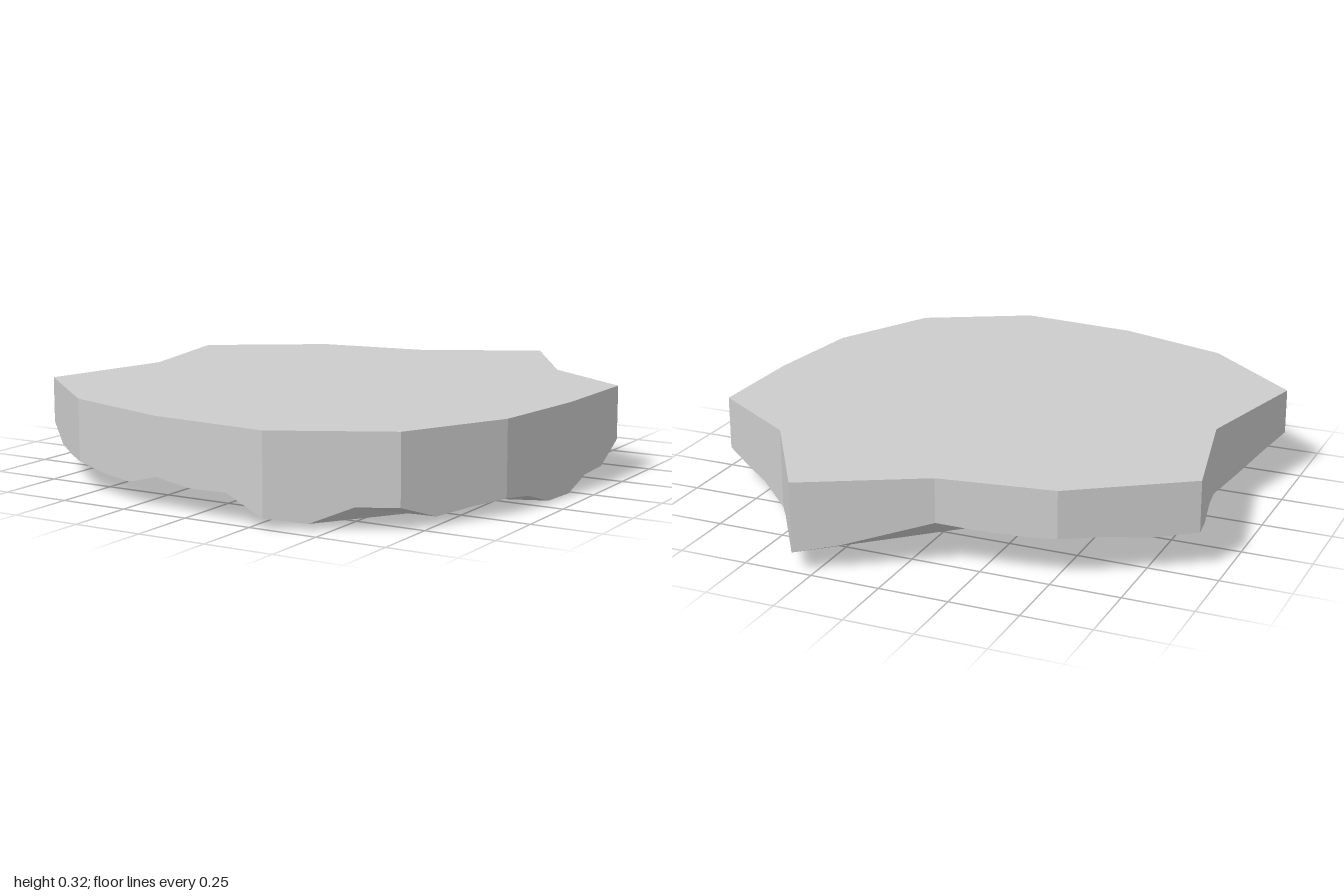
import * as THREE from 'three';

const TOP = 0.32;

// Outline corners, clockwise from above: x, z, then the lower-edge height
// at the corner and at one and two thirds of the way to the next corner.
const OUTLINE = [
  [0.32, -1.0, 0.07, 0.065, 0.065],
  [0.585, -0.59, 0.03, 0.08, 0.1],
  [0.925, -0.37, 0.125, 0.05, 0.045],
  [0.92, 0.03, 0.002, 0, 0.04],
  [0.875, 0.42, 0.055, 0.045, 0.03],
  [0.688, 0.795, 0.075, 0.075, 0.02],
  [0.302, 1.0, 0.035, 0.1, 0.095],
  [-0.14, 0.967, 0.115, 0.075, 0.08],
  [-0.56, 0.838, 0.1, 0.095, 0.1],
  [-0.927, 0.522, 0.155, 0.13, 0.1],
  [-0.81, 0.03, 0.075, 0.105, 0.1],
  [-0.912, -0.445, 0.135, 0.13, 0.145],
  [-0.512, -0.715, 0.15, 0.145, 0.15],
  [-0.1, -0.775, 0.16, 0.125, 0.09],
];

// Whole numbers from a to b
const span = (a, b) => Array.from({ length: b - a + 1 }, (_, i) => a + i);

// Facets of the broken underside: fans over the lower edge points,
// each given as the apex followed by the points it spreads to
const FANS = [
  [30, ...span(34, 41), ...span(0, 3), 9, ...span(20, 26)], // main face
  [34, ...span(30, 33)], // back right corner
  [26, ...span(27, 30)], // front right corner
  [3, 4, 8, 9], [4, 5, 7, 8], [5, 6, 7], // back left chip
  [20, ...span(9, 13)], [13, 14, ...span(16, 20)], [14, 15, 16], // front left chips
];

// Faceted geometry from a list of triangle corner points
function facets(points) {
  const g = new THREE.BufferGeometry().setFromPoints(points);
  g.computeVertexNormals();
  return g;
}

export function createModel() {
  const group = new THREE.Group();
  group.name = 'stoneSlab';
  const stone = new THREE.MeshStandardMaterial({ color: 0xcccccc });
  stone.name = 'grey stone';

  // Broken lower edge, subdivided along each side
  const rim = [];
  OUTLINE.forEach(([x, z, ...heights], i) => {
    const [nx, nz] = OUTLINE[(i + 1) % OUTLINE.length];
    heights.forEach((y, k) => {
      const t = k / 3;
      rim.push(new THREE.Vector3(x + (nx - x) * t, y, z + (nz - z) * t));
    });
  });
  const top = rim.map((p) => new THREE.Vector3(p.x, TOP, p.z));
  const centre = new THREE.Vector3(0, TOP, 0);

  // Top face and side walls, one piece of each per edge point
  const topFace = [];
  const walls = [];
  top.forEach((a, i) => {
    const j = (i + 1) % top.length;
    topFace.push(centre, top[j], a);
    walls.push(a, top[j], rim[j], a, rim[j], rim[i]);
  });

  // Underside
  const underside = [];
  FANS.forEach(([apex, ...ends]) => {
    for (let i = 0; i < ends.length - 1; i++) {
      underside.push(rim[apex], rim[ends[i]], rim[ends[i + 1]]);
    }
  });

  Object.entries({ topFace, sideWalls: walls, underside }).forEach(([name, points]) => {
    const mesh = new THREE.Mesh(facets(points), stone);
    mesh.name = name;
    group.add(mesh);
  });
  return group;
}
